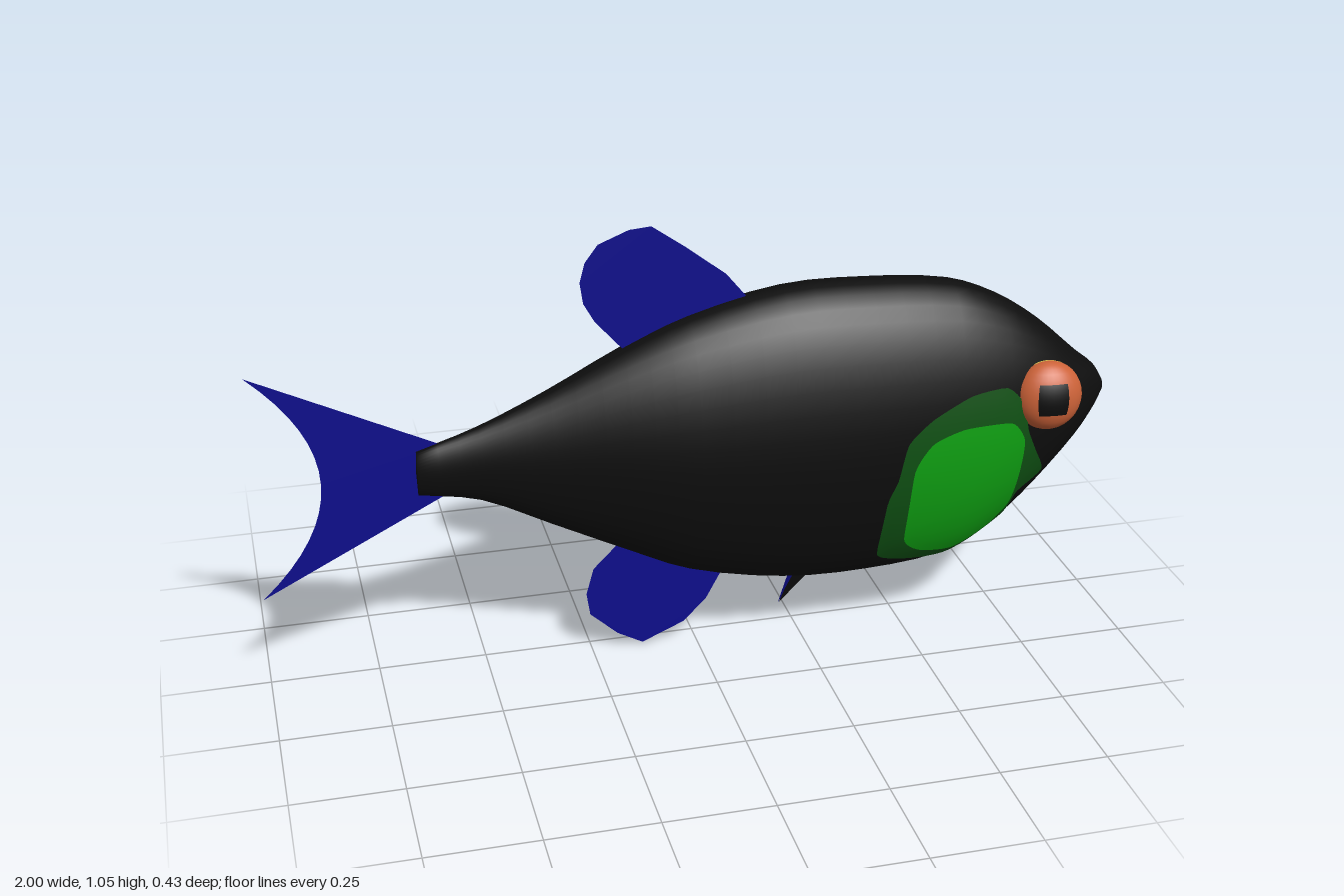
import * as THREE from 'three';

const mat = (name, color, side = THREE.FrontSide) => {
  const m = new THREE.MeshStandardMaterial({ color, side });
  m.name = name;
  return m;
};

const MID = 0.043; // z of the body's centre plane

// Body stations: x, top, bottom, half width
const stations = [
  [-0.64, 0.575, 0.468, 0.022], [-0.5, 0.62, 0.44, 0.04], [-0.34, 0.69, 0.36, 0.075],
  [-0.17, 0.775, 0.275, 0.118], [-0.02, 0.838, 0.205, 0.147], [0.2, 0.888, 0.157, 0.168],
  [0.4, 0.889, 0.15, 0.17], [0.6, 0.868, 0.172, 0.16], [0.72, 0.82, 0.24, 0.143],
  [0.82, 0.752, 0.33, 0.115], [0.92, 0.662, 0.44, 0.073], [0.97, 0.62, 0.508, 0.04],
  [0.992, 0.585, 0.548, 0.018],
];

// Smooth body section at x: [centre y, half height, half width]
function section(x) {
  const n = stations.length;
  let i = 0;
  while (i < n - 2 && x > stations[i + 1][0]) i++;
  const slope = (j, k) => {
    const a = stations[Math.max(j - 1, 0)], b = stations[Math.min(j + 1, n - 1)];
    return (b[k] - a[k]) / (b[0] - a[0]);
  };
  const a = stations[i], b = stations[i + 1], d = b[0] - a[0];
  const t = Math.min(1, Math.max(0, (x - a[0]) / d)), t2 = t * t, t3 = t2 * t;
  const [top, bottom, width] = [1, 2, 3].map((k) =>
    (2 * t3 - 3 * t2 + 1) * a[k] + (t3 - 2 * t2 + t) * d * slope(i, k) +
    (3 * t2 - 2 * t3) * b[k] + (t3 - t2) * d * slope(i + 1, k));
  return [(top + bottom) / 2, (top - bottom) / 2, width];
}

function buildGeometry(positions, index) {
  const g = new THREE.BufferGeometry();
  g.setAttribute('position', new THREE.Float32BufferAttribute(positions, 3));
  if (index) g.setIndex(index);
  g.computeVertexNormals();
  return g;
}

// Elliptical rings lofted along x, with closed ends
function bodyGeometry() {
  const xs = [], pos = [], idx = [], sides = 40;
  for (let i = 0; i < stations.length - 1; i++)
    for (let k = 0; k < 3; k++) xs.push(THREE.MathUtils.lerp(stations[i][0], stations[i + 1][0], k / 3));
  xs.push(0.992);
  xs.forEach((x, r) => {
    const [c, h, w] = section(x);
    for (let s = 0; s < sides; s++) {
      const a = (s / sides) * Math.PI * 2;
      pos.push(x, c + h * Math.cos(a), MID + w * Math.sin(a));
      if (r === 0) continue;
      const p = (r - 1) * sides + s, q = (r - 1) * sides + (s + 1) % sides;
      idx.push(p, q, p + sides, q, q + sides, p + sides);
    }
  });
  const tail = pos.length / 3, last = (xs.length - 1) * sides;
  pos.push(-0.642, section(-0.64)[0], MID, 0.998, 0.566, MID);
  for (let s = 0; s < sides; s++) {
    const t = (s + 1) % sides;
    idx.push(tail, t, s, tail + 1, last + s, last + t);
  }
  return buildGeometry(pos, idx);
}

// Cheek patch: an outline in x, y filled with rings that hug the body
function patchGeometry(outline, side, lift) {
  const curve = new THREE.CatmullRomCurve3(
    outline.map(([x, y]) => new THREE.Vector3(x, y, 0)), true, 'catmullrom', 0.3);
  const edge = curve.getPoints(64).slice(0, 64);
  const centre = edge.reduce((s, p) => s.add(p), new THREE.Vector3()).divideScalar(64);
  const pos = [], idx = [], rings = 10;
  for (let r = 0; r <= rings; r++)
    edge.forEach((e, s) => {
      const p = centre.clone().lerp(e, r / rings), [c, h, w] = section(p.x);
      const v = (p.y - c) / (h + lift);
      pos.push(p.x, p.y, MID + side * (w + lift) * Math.sqrt(Math.max(0, 1 - v * v)));
      if (r === 0) return;
      const a = (r - 1) * 64 + s, b = (r - 1) * 64 + (s + 1) % 64;
      if (side > 0) idx.push(a, a + 64, b, b, a + 64, b + 64);
      else idx.push(a, b, a + 64, b, b + 64, a + 64);
    });
  return buildGeometry(pos, idx);
}

export function createModel() {
  const model = new THREE.Group();
  model.name = 'fish';
  const black = mat('black', 0x0d0d0d);
  const blackFin = mat('fin black', 0x0d0d0d, THREE.DoubleSide);
  const blue = mat('fin blue', 0x0d0d8c, THREE.DoubleSide);
  const green = mat('bright green', 0x0fa012, THREE.DoubleSide);
  const darkGreen = mat('dark green', 0x0f5013, THREE.DoubleSide);
  const orange = mat('eye orange', 0xcc6238);
  const yellow = mat('eye yellow', 0xe0c852);

  const add = (name, geometry, material, parent = model) => {
    const mesh = new THREE.Mesh(geometry, material);
    mesh.name = name;
    parent.add(mesh);
    return mesh;
  };

  add('body', bodyGeometry(), black);

  // Flat fins on the centre plane
  const flatFin = (name, shape) => {
    add(name, new THREE.ShapeGeometry(shape, 16), blue).position.z = MID;
  };
  const tail = new THREE.Shape();
  tail.moveTo(-0.58, 0.585);
  tail.lineTo(-1, 0.79);
  tail.quadraticCurveTo(-0.705, 0.52, -1, 0.247);
  tail.lineTo(-0.58, 0.46);
  flatFin('tailFin', tail);
  const fromPoints = (pts) => new THREE.Shape(pts.map(([x, y]) => new THREE.Vector2(x, y)));
  flatFin('dorsalFin', fromPoints([
    [0.14, 0.82], [0.115, 0.875], [0.07, 0.93], [-0.02, 1.0], [-0.1, 1.057], [-0.15, 1.053], [-0.22, 1.025],
    [-0.25, 0.985], [-0.262, 0.94], [-0.255, 0.89], [-0.23, 0.845], [-0.16, 0.765], [-0.1, 0.7]]));
  flatFin('analFin', fromPoints([
    [0.1, 0.24], [0.06, 0.175], [0.025, 0.11], [-0.03, 0.055], [-0.13, 0.012], [-0.19, 0.045], [-0.255, 0.105],
    [-0.263, 0.16], [-0.245, 0.225], [-0.18, 0.29], [-0.1, 0.36]]));

  // Pelvic fin: black leading edge with a blue trailing blade
  add('pelvicFinEdge', buildGeometry([
    0.29, 0.18, -0.022, 0.27, 0.125, -0.036, 0.37, 0.18, -0.02,
    0.37, 0.18, -0.02, 0.27, 0.125, -0.036, 0.285, 0.07, -0.05,
    0.285, 0.07, -0.05, 0.27, 0.125, -0.036, 0.24, 0.005, -0.07]), blackFin);
  add('pelvicFinBlade', buildGeometry([
    0.285, 0.14, -0.038, 0.25, 0.1, -0.035, 0.28, 0.09, -0.052,
    0.28, 0.09, -0.052, 0.25, 0.1, -0.035, 0.238, 0.005, -0.071]), blue);

  // Small pectoral fin showing as two slivers
  add('pectoralFin', buildGeometry([
    0.5, 0.527, -0.12, 0.45, 0.503, -0.13, 0.43, 0.518, -0.165,
    0.43, 0.512, -0.192, 0.4, 0.485, -0.2, 0.39, 0.508, -0.215]), blue);

  // Cheek patches, bright over dark
  const outer = [
    [0.41, 0.235], [0.413, 0.39], [0.435, 0.453], [0.456, 0.544], [0.515, 0.597], [0.61, 0.64], [0.7, 0.645],
    [0.745, 0.6], [0.76, 0.53], [0.787, 0.47], [0.82, 0.4], [0.755, 0.357], [0.733, 0.283], [0.664, 0.23],
    [0.595, 0.192], [0.49, 0.203]];
  const inner = [
    [0.467, 0.283], [0.472, 0.47], [0.515, 0.539], [0.595, 0.565], [0.712, 0.56], [0.75, 0.507], [0.744, 0.39],
    [0.733, 0.325], [0.69, 0.267], [0.605, 0.219], [0.515, 0.235]];

  for (const side of [1, -1]) {
    const label = side > 0 ? 'front' : 'back';
    add(`${label}CheekPatch`, patchGeometry(outer, side, 0.004), darkGreen);
    add(`${label}CheekSpot`, patchGeometry(inner, side, 0.008), green);

    // Eye: orange outer half, yellow inner half, square pupil
    const eye = new THREE.Group();
    eye.name = `${label}Eye`;
    eye.position.set(0.808, 0.608, MID + side * 0.12);
    eye.rotation.set(-0.13, side > 0 ? -0.1 : Math.PI + 0.1, 0, 'YXZ');
    eye.scale.set(0.08, 0.082, 0.051);
    add('iris', new THREE.SphereGeometry(1, 16, 16, 0, Math.PI), orange, eye);
    add('eyeball', new THREE.SphereGeometry(1, 16, 16, Math.PI, Math.PI), yellow, eye);
    const half = 0.45, start = Math.PI / 2 - half;
    add('pupil', new THREE.SphereGeometry(1.04, 6, 6, start, half * 2, start, half * 2), black, eye);
    model.add(eye);
  }
  return model;
}
